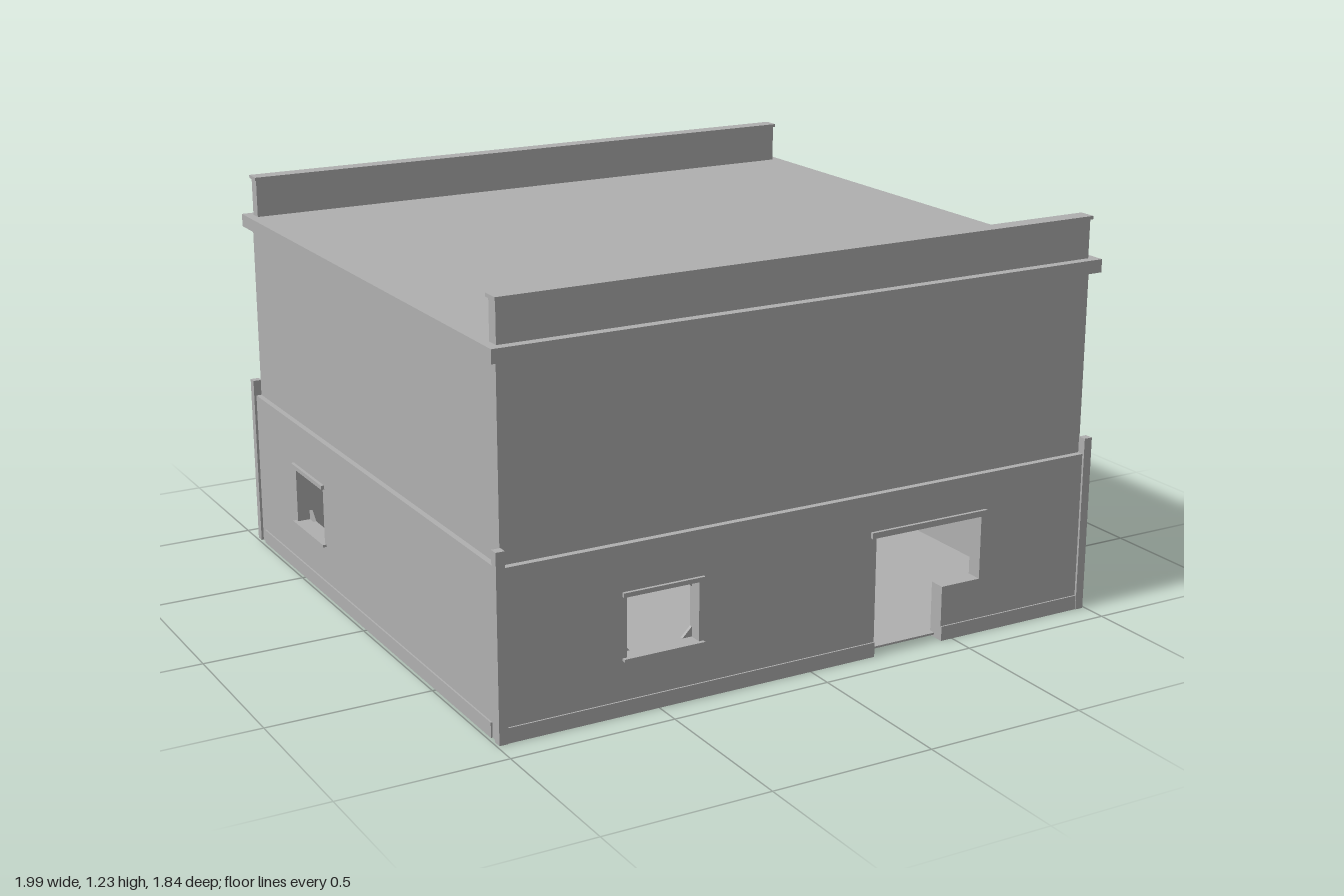
import * as THREE from 'three';

const stone = new THREE.MeshStandardMaterial({ color: 0xb0b0b0 });
stone.name = 'grey stone';

// Box from min and max corners
function box(parent, name, x0, x1, y0, y1, z0, z1) {
  const mesh = new THREE.Mesh(new THREE.BoxGeometry(x1 - x0, y1 - y0, z1 - z0), stone);
  mesh.position.set((x0 + x1) / 2, (y0 + y1) / 2, (z0 + z1) / 2);
  mesh.name = name;
  parent.add(mesh);
  return mesh;
}

const WIN = { half: 0.114, y0: 0.17, y1: 0.35 };
const THICK = 0.05;
const points = (list) => list.map(([x, y]) => new THREE.Vector2(x, y));

// Window outline with optional cut corners
function windowPath(c, cut) {
  const a = c - WIN.half, b = c + WIN.half, { y0, y1 } = WIN;
  return new THREE.Path(points(cut
    ? [[a + cut, y0], [b - cut, y0], [b, y0 + cut], [b, y1 - cut], [b - cut, y1], [a + cut, y1], [a, y1 - cut], [a, y0 + cut]]
    : [[a, y0], [b, y0], [b, y1], [a, y1]]));
}

// Ground floor wall facing +z in its own space; its outer face lies at z = dist
function makeWall(name, half, dist, windows, doorway = [], lintel = null) {
  const wall = new THREE.Group();
  wall.name = name;
  const addLayer = (label, depth, z, cut) => {
    const shape = new THREE.Shape(points([[-half, 0], ...doorway, [half, 0], [half, 0.5], [-half, 0.5]]));
    windows.forEach((c) => shape.holes.push(windowPath(c, cut)));
    const mesh = new THREE.Mesh(new THREE.ExtrudeGeometry(shape, { depth, bevelEnabled: false }), stone);
    mesh.position.z = z;
    mesh.name = label;
    wall.add(mesh);
  };
  addLayer('wallPanel', THICK - 0.01, dist - THICK + 0.01, 0);
  addLayer('innerLining', 0.01, dist - THICK, 0.03);

  // Sills and lintels
  for (const c of windows) {
    box(wall, 'windowSill', c - 0.128, c + 0.128, 0.162, 0.17, dist - 0.01, dist + 0.012);
    box(wall, 'windowLintel', c - 0.128, c + 0.128, 0.35, 0.363, dist - 0.01, dist + 0.01);
  }
  if (lintel) box(wall, 'doorLintel', lintel[0], lintel[1], 0.37, 0.388, dist - 0.01, dist + 0.01);

  // Plinth, broken at the doorway
  const ends = doorway.length
    ? [[-half, doorway[0][0]], [doorway[doorway.length - 1][0], half]]
    : [[-half, half]];
  for (const [a, b] of ends) box(wall, 'plinth', a, b, 0, 0.045, dist - 0.01, dist + 0.005);
  return wall;
}

export function createModel() {
  const model = new THREE.Group();
  model.name = 'building';

  // Ground floor walls
  const front = makeWall('frontWall', 0.985, 0.91, [-0.485],
    [[0.22, 0], [0.22, 0.37], [0.595, 0.37], [0.595, 0.17], [0.46, 0.17], [0.46, 0]], [0.2, 0.608]);
  const back = makeWall('backWall', 0.985, 0.91, [-0.485, 0.485],
    [[-0.16, 0], [-0.16, 0.37], [0.16, 0.37], [0.16, 0]], [-0.185, 0.185]);
  back.rotation.y = Math.PI;
  const left = makeWall('leftWall', 0.91 - THICK, 0.985, [-0.443, 0.443]);
  left.rotation.y = Math.PI / 2;
  const right = makeWall('rightWall', 0.91 - THICK, 0.985, [-0.443]);
  right.rotation.y = -Math.PI / 2;
  model.add(front, back, left, right);

  // Corner posts
  for (const sx of [-1, 1]) for (const sz of [-1, 1]) {
    const post = box(model, 'cornerPost', -0.0135, 0.0135, 0, 0.55, -0.0135, 0.0135);
    post.position.x = sx * 0.979;
    post.position.z = sz * 0.904;
  }

  // Floor slab, upper storey and cornice roof
  box(model, 'floor', -0.95, 0.95, 0.008, 0.014, -0.88, 0.88);
  box(model, 'upperStorey', -0.968, 0.968, 0.5, 1.06, -0.89, 0.89);
  box(model, 'corniceRoof', -0.993, 0.993, 1.06, 1.1, -0.917, 0.917);

  // Parapets with caps along front and back
  for (const s of [-1, 1]) {
    const wall = box(model, 'parapet', -0.965, 0.965, 1.1, 1.22, -0.02, 0.02);
    const cap = box(model, 'parapetCap', -0.97, 0.97, 1.218, 1.228, -0.027, 0.027);
    wall.position.z = cap.position.z = s * 0.868;
  }
  return model;
}
